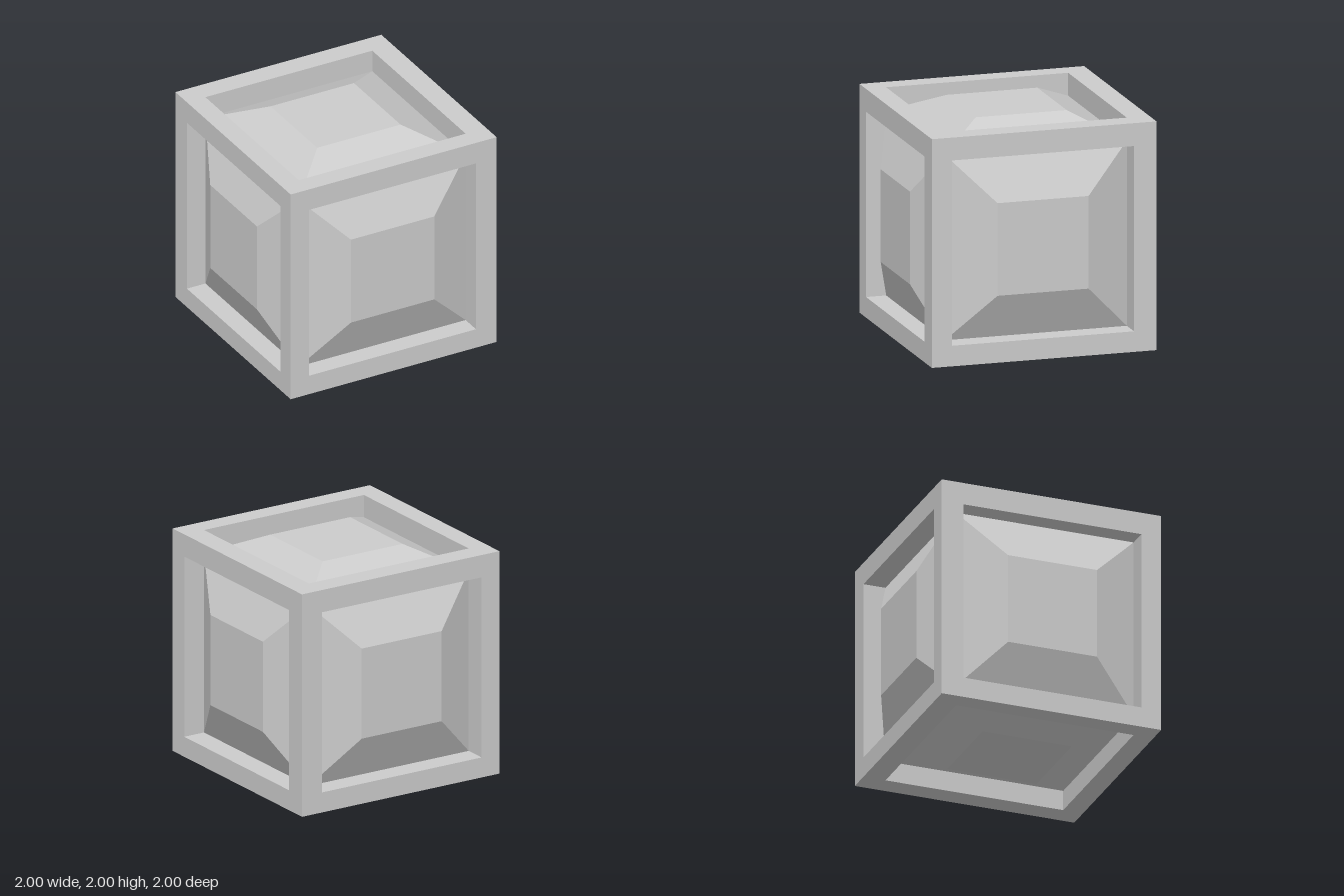
import * as THREE from 'three';

const CENTRE = [-0.01, -0.01, 0.01]; // the core sits slightly off centre
const OPENING = 0.81; // half width of the openings and of the core
const RAISED = 0.405; // half width of the flat panel tops

// Square loop on one side of the cube, counter-clockwise seen from outside
function squareLoop(axis, sign, half, level, centre) {
  let u = (axis + 1) % 3;
  let v = (axis + 2) % 3;
  if (sign < 0) [u, v] = [v, u];
  return [[-1, -1], [1, -1], [1, 1], [-1, 1]].map(([a, b]) => {
    const p = [0, 0, 0];
    p[u] = centre[u] + a * half;
    p[v] = centre[v] + b * half;
    p[axis] = level;
    return p;
  });
}

// Joins nested loops, outermost first, with bands of quads; may cap the last
function loft(loops, capped) {
  const positions = [];
  const quad = (a, b, c, d) => positions.push(...a, ...b, ...c, ...a, ...c, ...d);
  for (let i = 0; i < loops.length - 1; i++) {
    for (let j = 0; j < 4; j++) {
      const k = (j + 1) % 4;
      quad(loops[i][j], loops[i][k], loops[i + 1][k], loops[i + 1][j]);
    }
  }
  if (capped) quad(...loops[loops.length - 1]);
  const geometry = new THREE.BufferGeometry();
  geometry.setAttribute('position', new THREE.Float32BufferAttribute(positions, 3));
  geometry.computeVertexNormals();
  return geometry;
}

export function createModel() {
  const model = new THREE.Group();
  model.name = 'framedCube';
  const material = new THREE.MeshStandardMaterial({ color: 0xcccccc, flatShading: true });

  const add = (name, geometry) => {
    const mesh = new THREE.Mesh(geometry, material);
    mesh.name = name;
    mesh.position.y = 1;
    model.add(mesh);
  };

  const sides = [
    ['left', 0, 1], ['right', 0, -1],
    ['top', 1, 1], ['bottom', 1, -1],
    ['front', 2, 1], ['back', 2, -1],
  ];
  for (const [side, axis, sign] of sides) {
    const floor = CENTRE[axis] + sign * OPENING;
    const outer = squareLoop(axis, sign, 1, sign, [0, 0, 0]);
    const rim = squareLoop(axis, sign, OPENING, sign, CENTRE);
    const base = squareLoop(axis, sign, OPENING, floor, CENTRE);
    const top = squareLoop(axis, sign, RAISED, sign, CENTRE);

    // Flat border with the walls of its recess
    add(side + 'Frame', loft([outer, rim, base], false));
    // Bevelled panel rising from the recess back to the frame's level
    add(side + 'Panel', loft([base, top], true));
  }
  return model;
}
